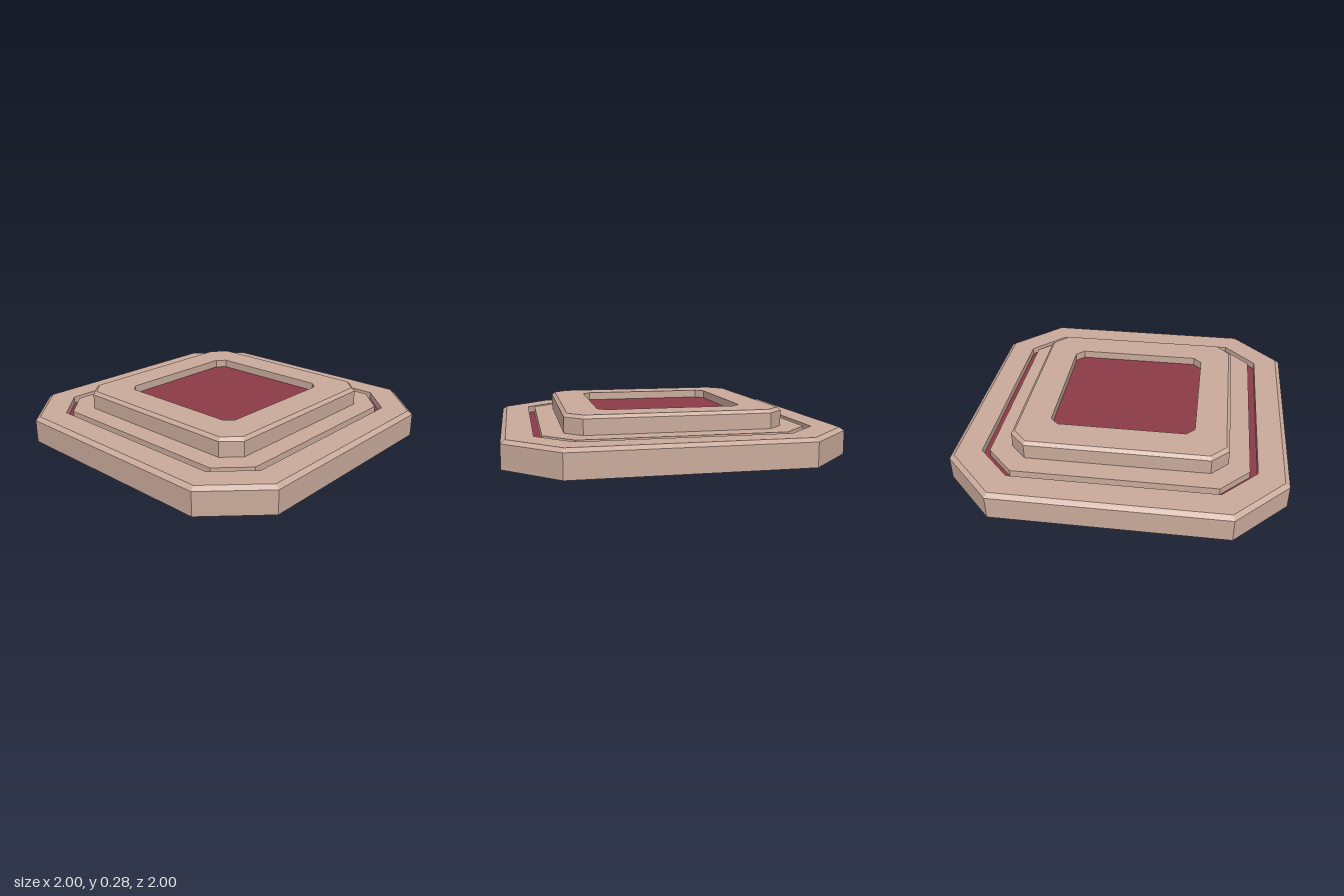
import * as THREE from 'three';

// Ring: square of half-width h with cut corners; f is half the straight edge.
const ring = ([h, f, y]) => [
  [h, f], [h, -f], [f, -h], [-f, -h], [-h, -f], [-h, f], [-f, h], [f, h],
].map(([x, z]) => new THREE.Vector3(x, y, z));

// Flat-faced surface joining successive rings; a zero-size ring closes the end.
function loft(name, material, profile) {
  const points = [];
  for (let k = 0; k < profile.length - 1; k++) {
    const a = ring(profile[k]), b = ring(profile[k + 1]);
    for (let i = 0; i < 8; i++) {
      const j = (i + 1) % 8;
      if (profile[k][0] > 0) points.push(a[i], a[j], b[j]);
      if (profile[k + 1][0] > 0) points.push(a[i], b[j], b[i]);
    }
  }
  const geometry = new THREE.BufferGeometry().setFromPoints(points);
  geometry.computeVertexNormals();
  const mesh = new THREE.Mesh(geometry, material);
  mesh.name = name;
  return mesh;
}

export function createModel() {
  const stone = new THREE.MeshStandardMaterial({ name: 'beige stone', color: 0xc9aa9b });
  const red = new THREE.MeshStandardMaterial({ name: 'dark red', color: 0x8c3a47 });

  const grooveY = 0.12, pitY = 0.225;
  const grooveOuter = [0.82, 0.615], grooveInner = [0.775, 0.605], pit = [0.44, 0.39];

  const group = new THREE.Group();
  group.name = 'steppedPlatform';
  group.add(
    // Underside, bevelled outer wall, rim and outer groove wall
    loft('base', stone, [
      [0, 0, 0], [1, 0.69, 0], [1, 0.69, 0.143], [0.972, 0.68, 0.163],
      [...grooveOuter, 0.163], [...grooveOuter, grooveY],
    ]),
    loft('grooveFloor', red, [[...grooveOuter, grooveY], [...grooveInner, grooveY]]),
    // Inner groove wall, ledge, bevelled upper step and pit wall
    loft('upperStep', stone, [
      [...grooveInner, grooveY], [...grooveInner, 0.163], [0.65, 0.55, 0.163],
      [0.65, 0.55, 0.256], [0.63, 0.54, 0.275], [...pit, 0.275], [...pit, pitY],
    ]),
    loft('centrePanel', red, [[...pit, pitY], [0, 0, pitY]]),
  );
  return group;
}
